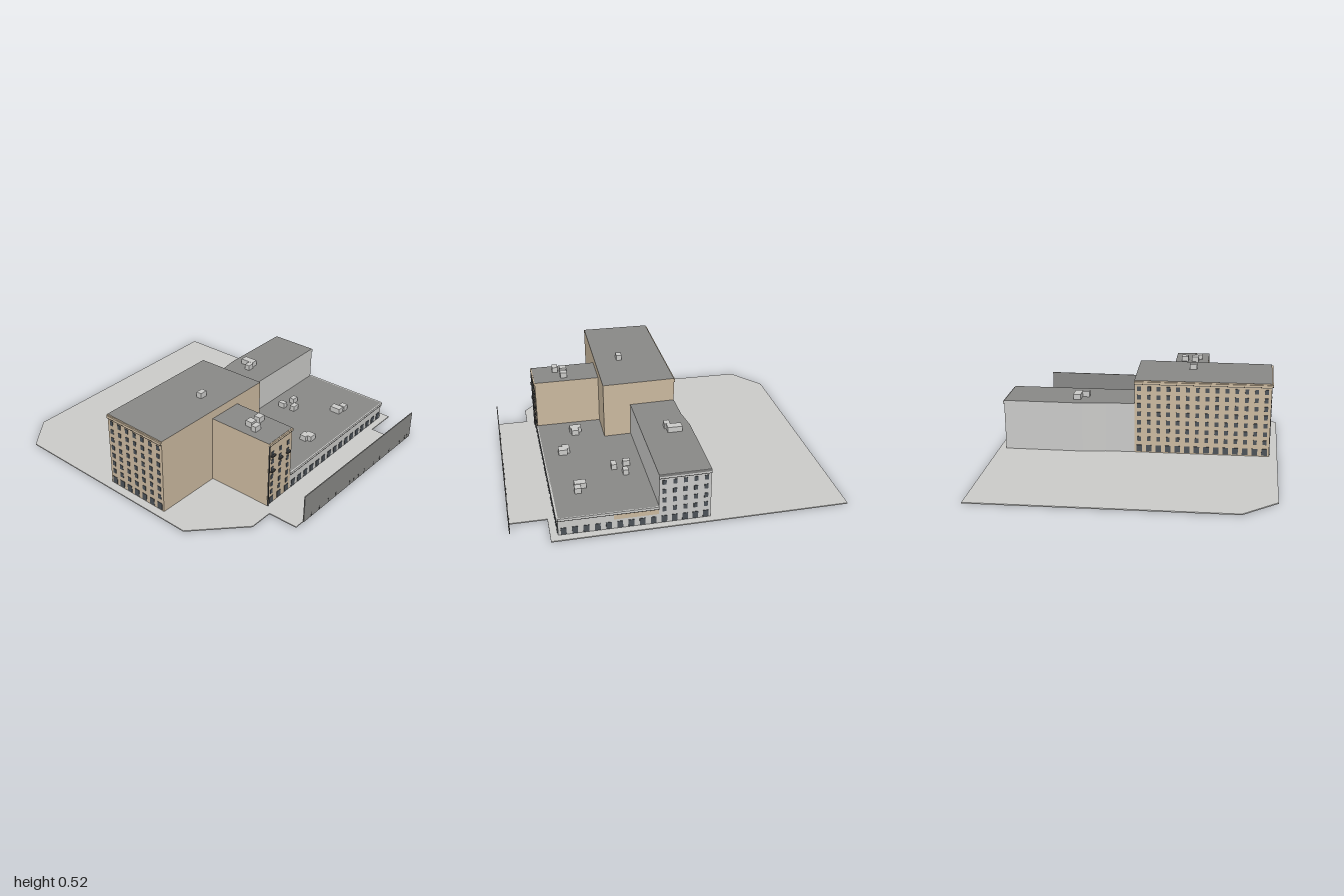
import * as THREE from 'three';
import { mergeGeometries } from 'three/addons/utils/BufferGeometryUtils.js';

export function createModel() {
  const root = new THREE.Group();
  root.name = 'cityBlock';
  const mat = (name, color, side = THREE.FrontSide) => {
    const m = new THREE.MeshStandardMaterial({ color, side });
    m.name = name;
    return m;
  };
  const pale = mat('paleGrey', 0xcacac8);
  const tan = mat('tanBrick', 0xcbb99f);
  const roof = mat('roofGrey', 0x888886);
  const glass = mat('darkGlass', 0x4b5157);
  const dark = mat('darkMetal', 0x3c3c3c);

  const add = (name, geo, material, parent = root) => {
    const m = new THREE.Mesh(geo, material);
    m.name = name;
    parent.add(m);
    return m;
  };
  const box = (w, h, d, x, y, z) => new THREE.BoxGeometry(w, h, d).translate(x, y, z);

  // Footprint [x, z] raised from y0 to y1; caps and walls coloured apart
  const prism = (name, pts, y0, y1, cap, wall) => {
    const shape = new THREE.Shape(pts.map(([x, z]) => new THREE.Vector2(x, -z)));
    const geo = new THREE.ExtrudeGeometry(shape, { depth: y1 - y0, bevelEnabled: false });
    geo.rotateX(-Math.PI / 2).translate(0, y0, 0);
    return add(name, geo, [cap, wall]);
  };

  // Wall frame from p to q, left to right as seen from outside
  const facade = (name, p, q) => {
    const g = new THREE.Group();
    const dx = q[0] - p[0], dz = q[1] - p[1];
    g.name = name;
    g.position.set(p[0], 0, p[1]);
    g.rotation.y = Math.atan2(-dz, dx);
    g.userData.length = Math.hypot(dx, dz);
    root.add(g);
    return g;
  };
  // Even grid of window plates along a wall
  const windows = (wall, name, count, ys, w, h, inset = 0) => {
    const len = wall.userData.length - 2 * inset, geos = [];
    for (const y of ys)
      for (let i = 0; i < count; i++)
        geos.push(box(w, h, 0.004, inset + len * (i + 0.5) / count, y, 0.001));
    add(name, mergeGeometries(geos), glass, wall);
  };
  const cornice = (wall, y, h, material) => {
    const len = wall.userData.length;
    add('cornice', box(len, h, 0.012, len / 2, y, 0.002), material, wall);
    add('corniceShadow', box(len, 0.003, 0.013, len / 2, y - h / 2 - 0.0015, 0.002), dark, wall);
  };
  const floors = (start, step, n) => Array.from({ length: n }, (_, i) => start + i * step);

  // Paved ground
  prism('ground', [[-0.68, -0.965], [0.89, -1], [0.905, 0.77], [0.69, 0.77], [0.69, 0.99], [-0.47, 0.99],
    [-0.47, 0.8], [-0.625, 0.8], [-0.91, 0.53], [-0.885, -0.795]], 0, 0.007, pale, pale);

  // Building masses
  prism('tallBlock', [[-0.845, -0.115], [0.015, -0.132], [0.025, 0.328], [-0.855, 0.328]], 0.003, 0.49, roof, tan);
  prism('frontTower', [[-0.425, 0.328], [-0.197, 0.328], [-0.197, 0.74], [-0.423, 0.745]], 0.003, 0.437, roof, tan);
  prism('lowHall', [[-0.197, 0.328], [0.025, 0.328], [0.022, 0.155], [0.855, 0.142], [0.855, 0.725], [-0.197, 0.74]],
    0.003, 0.122, roof, pale);
  prism('rearWing', [[0.015, -0.132], [0.2, -0.137], [0.35, -0.16], [0.852, -0.165], [0.855, 0.142], [0.022, 0.155]],
    0.003, 0.335, roof, pale);

  // Tall block: windows on back and left
  const tallBack = facade('tallBack', [0.015, -0.132], [-0.845, -0.115]);
  const tallLeft = facade('tallSide', [-0.845, -0.115], [-0.855, 0.328]);
  for (const [wall, n] of [[tallBack, 14], [tallLeft, 7]]) {
    windows(wall, 'upperWindows', n, floors(0.1, 0.056, 7), 0.024, 0.03);
    windows(wall, 'groundWindows', n, [0.035], 0.036, 0.044);
    cornice(wall, 0.475, 0.014, tan);
  }

  // Front tower: three bays with balconies and a corner pipe
  const towerFront = facade('towerFront', [-0.423, 0.745], [-0.197, 0.74]);
  windows(towerFront, 'towerWindows', 3, floors(0.09, 0.053, 6), 0.021, 0.03);
  windows(towerFront, 'towerGroundWindows', 3, [0.033], 0.036, 0.042);
  cornice(towerFront, 0.429, 0.012, tan);
  add('cornerPipe', box(0.005, 0.42, 0.01, 0.004, 0.215, 0.002), dark, towerFront);
  for (const [x, y] of [[0.038, 0.342], [0.113, 0.29], [0.188, 0.29], [0.038, 0.237]])
    add('balcony', box(0.034, 0.01, 0.014, x, y, 0.007), dark, towerFront);

  // Low hall: shop windows on front and right
  const hallFront = facade('hallFront', [-0.197, 0.74], [0.855, 0.725]);
  const hallRight = facade('hallRight', [0.855, 0.725], [0.855, 0.142]);
  windows(hallFront, 'shopWindows', 16, [0.032], 0.036, 0.045);
  windows(hallRight, 'shopWindows', 9, [0.032], 0.033, 0.045);
  for (const wall of [hallFront, hallRight]) cornice(wall, 0.115, 0.014, pale);
  add('tanPanel', box(0.26, 0.03, 0.003, 0.45, 0.085, 0.001), tan, hallRight);

  // Rear wing: windows on the right end
  const wingRight = facade('wingRight', [0.855, 0.142], [0.852, -0.165]);
  windows(wingRight, 'wingWindows', 5, floors(0.1, 0.061, 4), 0.023, 0.03);
  windows(wingRight, 'wingGroundWindows', 5, [0.032], 0.033, 0.045);
  cornice(wingRight, 0.322, 0.014, pale);

  // Rooftop units: x, z, width, depth, roof height
  const units = [
    [-0.34, 0.167, 0.048, 0.035, 0.49],
    [-0.333, 0.543, 0.045, 0.045, 0.437], [-0.262, 0.547, 0.045, 0.042, 0.437], [-0.353, 0.595, 0.05, 0.035, 0.437],
    [-0.082, 0.505, 0.04, 0.075, 0.122], [-0.045, 0.511, 0.04, 0.045, 0.122],
    [0.157, 0.595, 0.05, 0.045, 0.122], [0.176, 0.616, 0.05, 0.055, 0.122],
    [0.566, 0.558, 0.045, 0.07, 0.122], [0.615, 0.578, 0.042, 0.04, 0.122],
    [0.383, 0.25, 0.032, 0.045, 0.122], [0.402, 0.33, 0.05, 0.033, 0.122], [0.478, 0.27, 0.043, 0.033, 0.122],
    [0.39, -0.05, 0.048, 0.09, 0.335], [0.342, -0.012, 0.045, 0.036, 0.335],
  ];
  for (const [x, z, w, d, y] of units) add('rooftopUnit', box(w, 0.035, d, x, y + 0.0175, z), pale);

  // Long street wall with dark slits at its foot
  add('streetWall', box(1.19, 0.178, 0.006, 0.19, 0.093, 0.993), roof);
  for (const x of [-0.33, -0.25, -0.16, -0.08, 0.07, 0.115, 0.165, 0.23, 0.34, 0.41, 0.525, 0.655, 0.72, 0.75])
    add('wallSlit', box(0.004, 0.03, 0.008, x, 0.02, 0.993), dark);

  return root;
}
